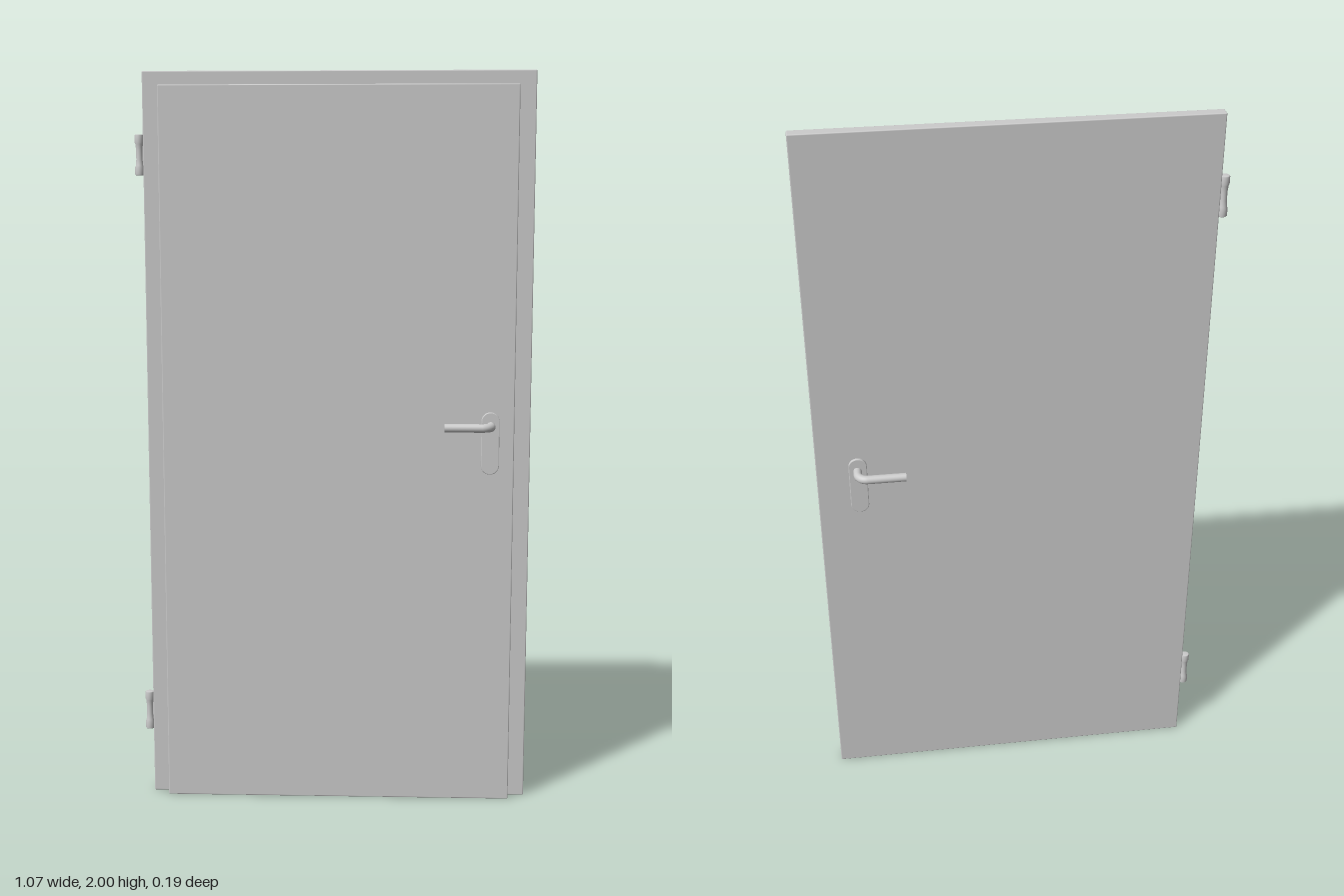
import * as THREE from 'three';
import { RoundedBoxGeometry } from 'three/addons/geometries/RoundedBoxGeometry.js';

const grey = new THREE.MeshStandardMaterial({ color: 0xcccccc });

function add(parent, name, geometry, x = 0, y = 0, z = 0) {
  const mesh = new THREE.Mesh(geometry, grey);
  mesh.name = name;
  mesh.position.set(x, y, z);
  parent.add(mesh);
  return mesh;
}

// Slab given by its extents, with slightly softened edges
function slab(parent, name, x0, x1, height, z0, z1) {
  const geometry = new RoundedBoxGeometry(x1 - x0, height, z1 - z0, 2, 0.003);
  return add(parent, name, geometry, (x0 + x1) / 2, height / 2, (z0 + z1) / 2);
}

// Upright stadium-shaped plate with a small bevel
function plateGeometry(radius, height, depth) {
  const bevel = 0.002;
  const r = radius - bevel;
  const h = height / 2 - radius;
  const shape = new THREE.Shape();
  shape.absarc(0, h, r, 0, Math.PI);
  shape.absarc(0, -h, r, Math.PI, Math.PI * 2);
  shape.closePath();
  return new THREE.ExtrudeGeometry(shape, {
    depth: depth - bevel, bevelThickness: bevel, bevelSize: bevel,
    bevelSegments: 2, curveSegments: 16,
  });
}

// Lever centreline: out of the door, round the bend, then towards the hinges
function leverGeometry(reach, length, bend, radius) {
  const v = (x, z) => new THREE.Vector3(x, 0, z);
  const path = new THREE.CurvePath();
  path.add(new THREE.LineCurve3(v(0, 0), v(0, reach - bend)));
  const k = bend * 0.45;
  path.add(new THREE.CubicBezierCurve3(
    v(0, reach - bend), v(0, reach - k), v(-k, reach), v(-bend, reach)));
  path.add(new THREE.LineCurve3(v(-bend, reach), v(-length, reach)));
  return new THREE.TubeGeometry(path, 48, radius, 20);
}

function createHandle(name) {
  const handle = new THREE.Group();
  handle.name = name;
  add(handle, 'backPlate', plateGeometry(0.0245, 0.17, 0.009), 0.424, 1.01, 0.029);
  add(handle, 'lever', leverGeometry(0.052, 0.127, 0.026, 0.0115), 0.425, 1.058, 0.03);
  const cap = add(handle, 'leverEnd', new THREE.CircleGeometry(0.0115, 20), 0.298, 1.058, 0.082);
  cap.rotation.y = -Math.PI / 2;
  return handle;
}

// Hinge barrel with wide ends and a slimmer waist
function hingeGeometry() {
  const profile = [
    [0, -0.054], [0.0105, -0.054], [0.0125, -0.052], [0.0125, -0.033],
    [0.0105, -0.028], [0.009, -0.012], [0.009, 0.012], [0.0105, 0.028],
    [0.0125, 0.033], [0.0125, 0.052], [0.0105, 0.054], [0, 0.054],
  ].map(([r, y]) => new THREE.Vector2(r, y));
  return new THREE.LatheGeometry(profile, 24);
}

export function createModel() {
  const door = new THREE.Group();
  door.name = 'door';

  // Door leaf: wide rebated back panel and smaller front panel
  slab(door, 'backPanel', -0.512, 0.535, 2, -0.031, -0.001);
  slab(door, 'frontPanel', -0.467, 0.489, 1.962, -0.001, 0.03);

  // Handles on both faces, the back one mirrored through the leaf
  door.add(createHandle('frontHandle'));
  const backHandle = createHandle('backHandle');
  backHandle.scale.z = -1;
  door.add(backHandle);

  // Hinges on the right edge
  for (const [name, y] of [['upperHinge', 1.781], ['lowerHinge', 0.234]]) {
    const hinge = new THREE.Group();
    hinge.name = name;
    hinge.position.set(-0.5235, y, -0.015);
    add(hinge, 'barrel', hingeGeometry());
    add(hinge, 'leaf', new THREE.BoxGeometry(0.012, 0.1, 0.006), 0.009, 0, 0);
    door.add(hinge);
  }

  return door;
}
